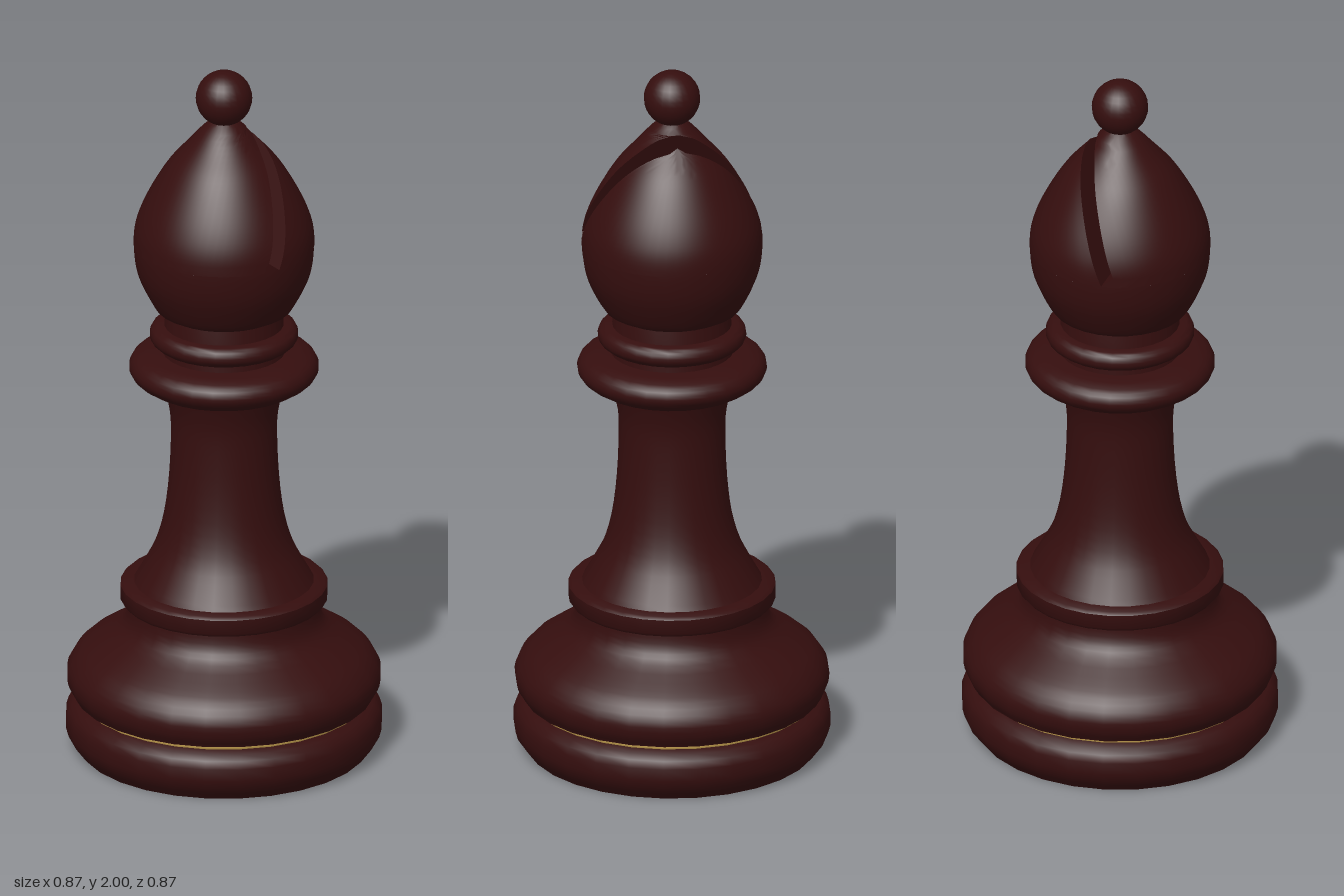
import * as THREE from 'three';
import { mergeGeometries, toCreasedNormals } from 'three/addons/utils/BufferGeometryUtils.js';

const SIDES = 28;
const wood = new THREE.MeshStandardMaterial({ color: 0x350e0e });
wood.name = 'dark wood';
const gold = new THREE.MeshStandardMaterial({ color: 0xb8964a });
gold.name = 'gold';

function addMesh(group, name, geometry, material = wood) {
  const mesh = new THREE.Mesh(geometry, material);
  mesh.name = name;
  group.add(mesh);
  return mesh;
}

// Turned part from a bottom-to-top profile of [radius, y]
function turned(profile) {
  const points = profile.map(([r, y]) => new THREE.Vector2(r, y));
  return toCreasedNormals(new THREE.LatheGeometry(points, SIDES), 0.75);
}

// Smooth curve through a few profile points
function smooth(points, count = 16) {
  const curve = new THREE.SplineCurve(points.map(([r, y]) => new THREE.Vector2(r, y)));
  return curve.getPoints(count).map((p) => [p.x, p.y]);
}

// Surface through rows of points; each row has the same length
function grid(rows, flip = false) {
  const n = rows[0].length;
  const index = [];
  for (let i = 0; i < rows.length - 1; i++) {
    for (let j = 0; j < n - 1; j++) {
      const a = i * n + j, b = a + n, c = a + 1, d = b + 1;
      if (flip) index.push(a, c, b, c, d, b);
      else index.push(a, b, c, c, b, d);
    }
  }
  const geometry = new THREE.BufferGeometry();
  geometry.setAttribute('position', new THREE.Float32BufferAttribute(rows.flat(2), 3));
  geometry.setIndex(index);
  return geometry.toNonIndexed();
}

// Head outline
const headProfile = smooth([
  [0.16, 1.29], [0.18, 1.295], [0.207, 1.335], [0.236, 1.4], [0.248, 1.465], [0.247, 1.53],
  [0.23, 1.59], [0.196, 1.66], [0.152, 1.73], [0.1, 1.79], [0.06, 1.835], [0.03, 1.86],
], 66);

// Straight interpolation in a list of [value, y]
function valueAt(list, y) {
  for (let i = 1; i < list.length; i++) {
    const [v0, y0] = list[i - 1], [v1, y1] = list[i];
    if (y <= y1) return v0 + (v1 - v0) * (y - y0) / (y1 - y0);
  }
  return list[list.length - 1][0];
}

function levels(from, to, count) {
  return Array.from({ length: count + 1 }, (_, i) => from + (to - from) * i / count);
}

// One side of the slotted head: side -1 keeps x below the wall, +1 keeps x above it
function headPiece(ys, wall, side) {
  const outer = [], inner = [];
  for (const y of ys) {
    const r = valueAt(headProfile, y);
    const w = THREE.MathUtils.clamp(valueAt(wall, y), -r, r);
    const a = Math.acos(w / r);
    const [start, end] = side < 0 ? [a, 2 * Math.PI - a] : [-a, a];
    outer.push(levels(start, end, SIDES).map((t) => [r * Math.cos(t), y, r * Math.sin(t)]));
    const h = r * Math.sin(a);
    inner.push([[w, y, -h], [w, y, h]]);
  }
  return [grid(outer), grid(inner, side > 0)];
}

function headGeometry() {
  const bottom = 1.49, corner = 1.516;
  const leftWall = [[-0.03, bottom], [-0.063, corner], [0.063, 1.84], [0.071, 1.86]];
  const rightWall = [[-0.03, bottom], [0.099, 1.806]];
  const lower = grid(levels(1.29, bottom, 14).map((y) => {
    const r = valueAt(headProfile, y);
    return levels(0, 2 * Math.PI, SIDES).map((t) => [r * Math.cos(t), y, r * Math.sin(t)]);
  }));
  return toCreasedNormals(mergeGeometries([
    lower,
    ...headPiece([bottom, ...levels(corner, 1.86, 26)], leftWall, -1),
    ...headPiece(levels(bottom, 1.806, 26), rightWall, 1),
  ]), 0.6);
}

export function createModel() {
  const model = new THREE.Group();
  model.name = 'bishop';

  // Foot and inlaid band
  addMesh(model, 'foot', turned([
    [0, 0], [0.4, 0], [0.415, 0.02], [0.43, 0.04], [0.437, 0.065], [0.437, 0.1],
    [0.43, 0.122], [0.415, 0.136], [0.395, 0.144],
  ]));
  addMesh(model, 'goldBand', turned([[0.395, 0.144], [0.397, 0.15], [0.395, 0.156]]), gold);

  // Swelling base
  addMesh(model, 'base', turned([
    [0.395, 0.156], [0.413, 0.158],
    ...smooth([[0.415, 0.163], [0.43, 0.19], [0.432, 0.232], [0.405, 0.276], [0.36, 0.31],
      [0.292, 0.355], [0.268, 0.39], [0.262, 0.43]], 20),
  ]));
  addMesh(model, 'baseRing', turned([
    [0.25, 0.43], [0.278, 0.432], [0.286, 0.442], [0.286, 0.482], [0.278, 0.49], [0.24, 0.492],
  ]));

  // Stem
  addMesh(model, 'stem', turned(smooth([
    [0.25, 0.488], [0.215, 0.55], [0.186, 0.61], [0.165, 0.69], [0.152, 0.8],
    [0.147, 0.92], [0.149, 0.99], [0.16, 1.045], [0.172, 1.085],
  ], 22)));

  // Collars under the head
  addMesh(model, 'collar', turned([
    [0.15, 1.075], ...smooth([[0.215, 1.077], [0.25, 1.1], [0.262, 1.127], [0.248, 1.155],
      [0.21, 1.17]], 12), [0.16, 1.173],
  ]));
  addMesh(model, 'neck', turned([[0.17, 1.165], [0.168, 1.2], [0.165, 1.25], [0.16, 1.295]]));
  addMesh(model, 'neckRing', turned([
    [0.16, 1.192], ...smooth([[0.185, 1.195], [0.201, 1.208], [0.205, 1.225], [0.199, 1.241],
      [0.185, 1.25]], 8), [0.16, 1.252],
  ]));

  // Slotted head and ball finial
  addMesh(model, 'head', headGeometry());
  addMesh(model, 'finial', new THREE.SphereGeometry(0.078, 24, 16)).position.y = 1.922;

  return model;
}
